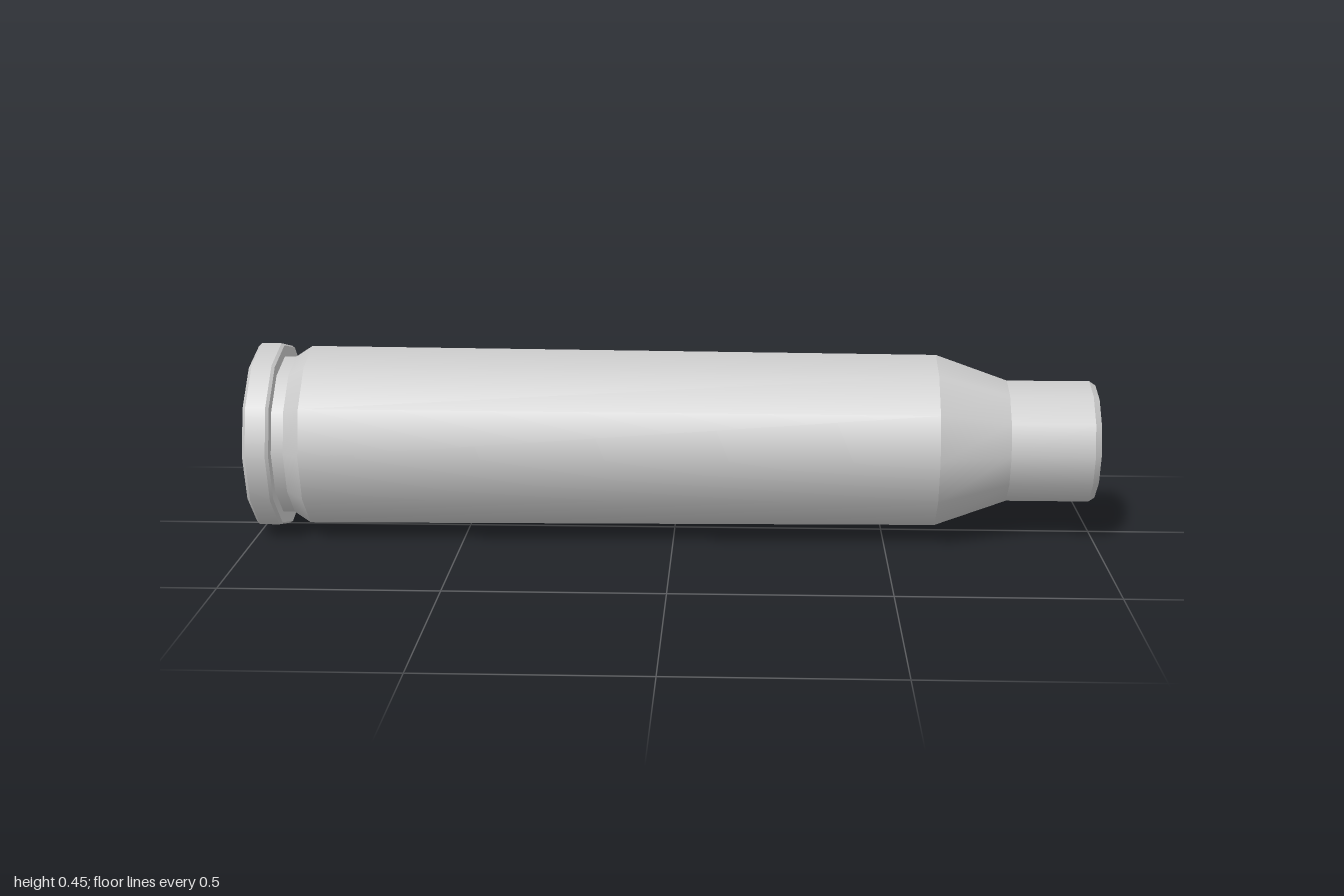
import * as THREE from 'three';
import { mergeGeometries } from 'three/addons/utils/BufferGeometryUtils.js';

const SIDES = 12;
const RADIUS = 0.225;

// Revolves a profile of [position along x, radius]; smooth around, sharp between bands.
function turned(name, profile, material) {
  const bands = [];
  for (let i = 0; i < profile.length - 1; i++) {
    const pair = [profile[i], profile[i + 1]].map(([x, r]) => new THREE.Vector2(r, x));
    bands.push(new THREE.LatheGeometry(pair, SIDES));
  }
  const geometry = mergeGeometries(bands);
  geometry.rotateZ(-Math.PI / 2); // lathe axis onto +x
  const mesh = new THREE.Mesh(geometry, material);
  mesh.name = name;
  return mesh;
}

export function createModel() {
  const material = new THREE.MeshStandardMaterial({ color: 0xcccccc, side: THREE.DoubleSide });
  const group = new THREE.Group();
  group.name = 'cartridgeCase';

  // Central cap in the base, set in a fine ring groove
  group.add(turned('primer', [[-1, 0], [-1, 0.092], [-0.99, 0.095]], material));

  // Base face and rim with slightly bevelled corners
  group.add(turned('rim', [
    [-0.99, 0.095], [-1, 0.1], [-1, 0.217], [-0.992, RADIUS],
    [-0.945, RADIUS], [-0.938, 0.22], [-0.938, 0.193],
  ], material));

  // Extractor groove
  group.add(turned('extractorGroove', [[-0.938, 0.193], [-0.91, 0.193], [-0.87, 0.219]], material));

  // Tapered body, shoulder and neck
  group.add(turned('body', [[-0.87, 0.219], [0.62, 0.209]], material));
  group.add(turned('shoulder', [[0.62, 0.209], [0.79, 0.148]], material));
  group.add(turned('neck', [[0.79, 0.148], [0.985, 0.148], [1, 0.138]], material));

  // Hollow interior, from the mouth down to a flat floor
  group.add(turned('interior', [
    [1, 0.138], [0.79, 0.138], [0.62, 0.198], [-0.82, 0.205], [-0.82, 0],
  ], material));

  group.position.y = RADIUS;
  const model = new THREE.Group();
  model.name = 'model';
  model.add(group);
  return model;
}
